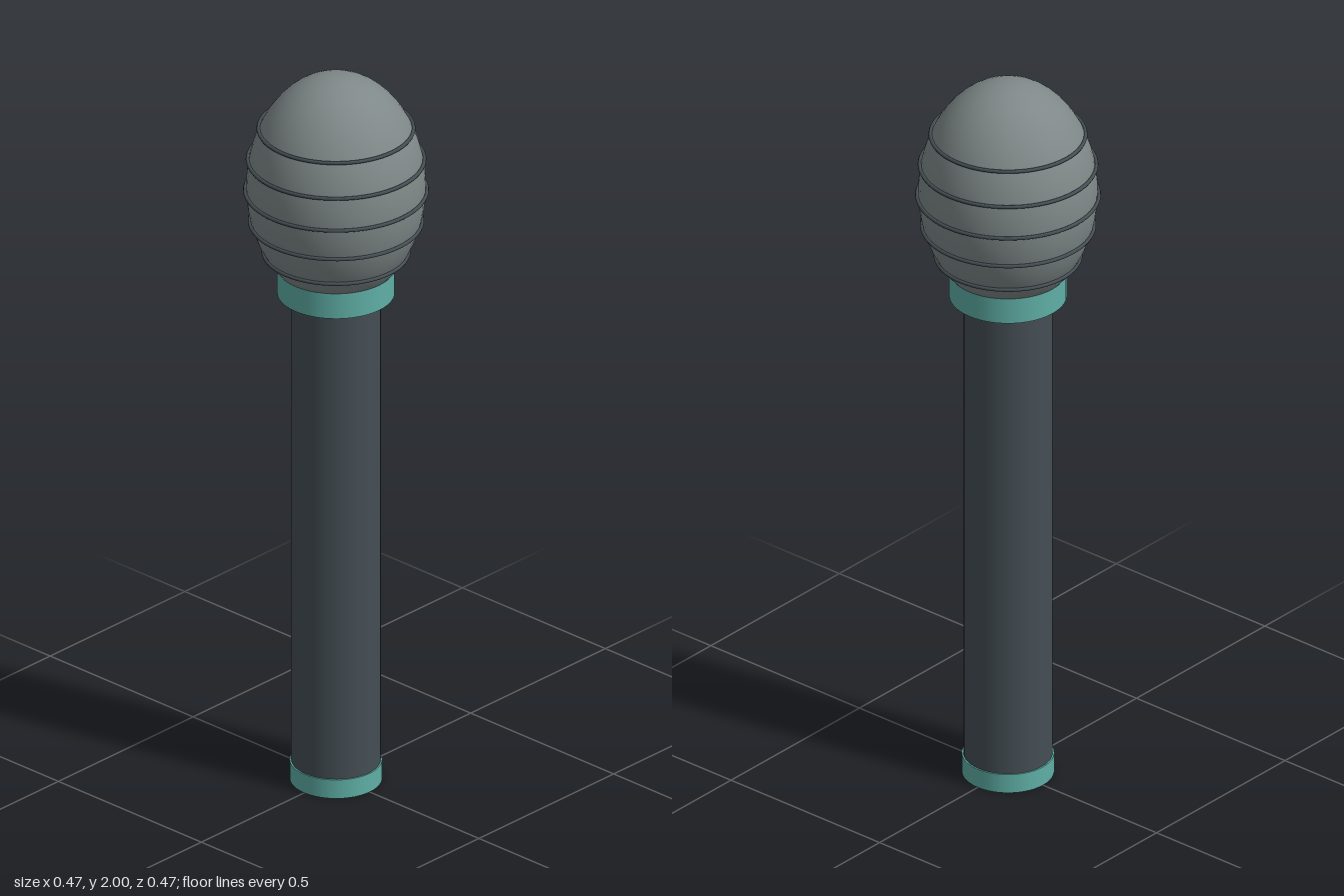
import * as THREE from 'three';

export function createModel() {
  const model = new THREE.Group();
  const material = (name, color) => {
    const m = new THREE.MeshStandardMaterial({ color });
    m.name = name;
    return m;
  };
  const charcoal = material('charcoal', 0x444e54);
  const grey = material('grey', 0x7f8888);
  const teal = material('teal', 0x5fafa6);

  const add = (name, geometry, mat, y) => {
    const mesh = new THREE.Mesh(geometry, mat);
    mesh.name = name;
    mesh.position.y = y;
    model.add(mesh);
    return mesh;
  };
  // upright cylinder between two heights
  const cylinder = (name, radius, y0, y1, mat) =>
    add(name, new THREE.CylinderGeometry(radius, radius, y1 - y0, 48), mat, (y0 + y1) / 2);

  // handle with its end cap and the collar under the head
  cylinder('endCap', 0.118, 0, 0.053, teal);
  cylinder('handle', 0.114, 0.05, 1.42, charcoal);
  cylinder('collar', 0.15, 1.385, 1.46, teal);

  // egg-shaped head
  const headY = 1.69, headRadius = 0.229, headHeight = 0.31;
  const head = new THREE.SphereGeometry(1, 48, 32);
  head.scale(headRadius, headHeight, headRadius);
  add('head', head, grey, headY);

  // thin wire rings that follow the head's outline
  for (let i = 0; i < 5; i++) {
    const y = 1.502 + i * 0.0878;
    const radius = headRadius * Math.sqrt(1 - ((y - headY) / headHeight) ** 2) + 0.003;
    const ring = new THREE.TorusGeometry(radius, 0.005, 8, 64);
    ring.rotateX(Math.PI / 2);
    add('headRing' + (i + 1), ring, charcoal, y);
  }
  return model;
}
